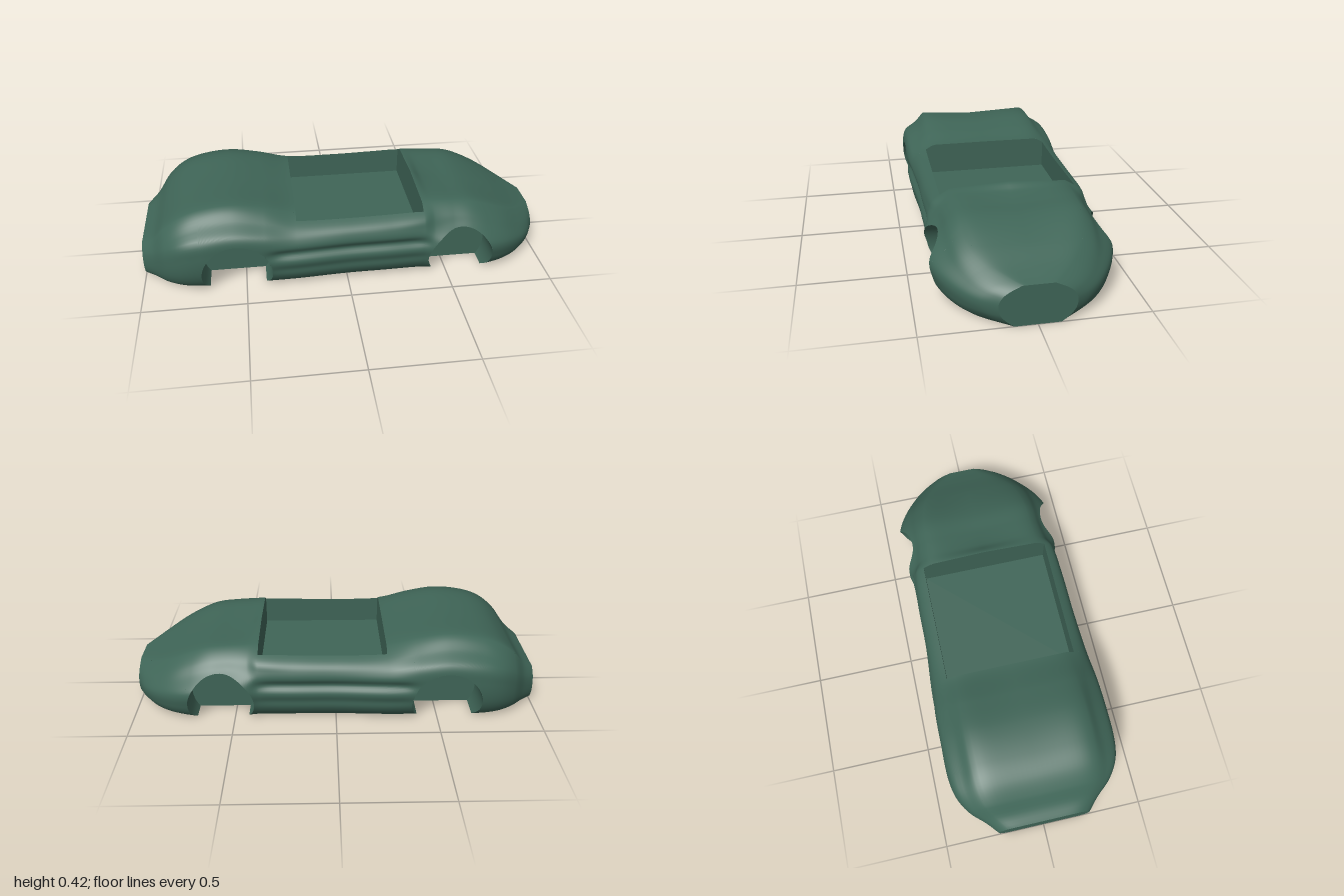
import * as THREE from 'three';

// Body stations along the car: x, widest half width, shoulder half width,
// upper shoulder half width, ridge half width, ridge height, centreline height
const STATIONS = [
  [-1.0, 0.23, 0.222, 0.208, 0.18, 0.18, 0.18],
  [-0.94, 0.285, 0.278, 0.26, 0.23, 0.222, 0.222],
  [-0.88, 0.352, 0.342, 0.31, 0.27, 0.3, 0.292],
  [-0.8, 0.4, 0.388, 0.335, 0.29, 0.363, 0.352],
  [-0.7, 0.42, 0.404, 0.338, 0.295, 0.4, 0.384],
  [-0.55, 0.42, 0.406, 0.338, 0.295, 0.416, 0.397],
  [-0.4, 0.42, 0.405, 0.345, 0.29, 0.395, 0.383],
  [-0.25, 0.418, 0.397, 0.36, 0.285, 0.36, 0.361],
  [0.0, 0.402, 0.39, 0.362, 0.28, 0.355, 0.36],
  [0.2, 0.4, 0.387, 0.36, 0.28, 0.359, 0.365],
  [0.375, 0.398, 0.377, 0.354, 0.28, 0.364, 0.38],
  [0.43, 0.408, 0.36, 0.33, 0.28, 0.362, 0.353],
  [0.52, 0.42, 0.35, 0.32, 0.278, 0.358, 0.335],
  [0.62, 0.421, 0.35, 0.318, 0.275, 0.348, 0.328],
  [0.7, 0.412, 0.345, 0.312, 0.265, 0.322, 0.31],
  [0.8, 0.372, 0.322, 0.29, 0.24, 0.276, 0.275],
  [0.9, 0.302, 0.265, 0.23, 0.175, 0.228, 0.23],
  [0.96, 0.238, 0.21, 0.175, 0.115, 0.204, 0.205],
  [1.0, 0.168, 0.15, 0.12, 0.07, 0.19, 0.19],
];
const XS = STATIONS.map((s) => s[0]);
const COLS = [1, 2, 3, 4, 5, 6].map((i) => STATIONS.map((s) => s[i]));
const [WIDE, SHOULDER, UPPER, RIDGE_Z, RIDGE_Y, CENTRE_Y] = [0, 1, 2, 3, 4, 5];
const HEIGHTS = [0, 0.12, 0.3, 0.55, 0.75, 0.87, 1];
const WELLS = [
  { x: -0.54, y: 0.1, r: 0.17, z: 0.215, name: 'rearWheelWell' },
  { x: 0.56, y: 0.097, r: 0.16, z: 0.24, name: 'frontWheelWell' },
];
const PIT = { x0: -0.245, x1: 0.375, z: 0.325, y: 0.2 };

// Smooth curve through uneven keys
function smooth(keys, vals, t) {
  const n = keys.length;
  let i = 0;
  while (i < n - 2 && t > keys[i + 1]) i++;
  const slope = (k) => {
    const a = Math.max(k - 1, 0), b = Math.min(k + 1, n - 1);
    return (vals[b] - vals[a]) / (keys[b] - keys[a]);
  };
  const h = keys[i + 1] - keys[i];
  const u = Math.min(1, Math.max(0, (t - keys[i]) / h));
  const u2 = u * u, u3 = u2 * u;
  return (2 * u3 - 3 * u2 + 1) * vals[i] + (u3 - 2 * u2 + u) * h * slope(i)
    + (3 * u2 - 2 * u3) * vals[i + 1] + (u3 - u2) * h * slope(i + 1);
}
const at = (x, col) => smooth(XS, COLS[col], x);
const bell = (d, w) => Math.exp(-(d * d) / (w * w));

// Half width of the flank at length x and height y, with grooves along the door
function flank(x, y) {
  const w = at(x, WIDE), tuck = bell(x - 1, 0.08);
  const z = smooth(HEIGHTS, [w * (0.8 - 0.2 * tuck), w * (0.915 - 0.14 * tuck), w * (0.985 - 0.04 * tuck), w,
    at(x, SHOULDER), at(x, UPPER), at(x, RIDGE_Z)], y / at(x, RIDGE_Y));
  const door = 1 / (1 + Math.exp(-(x + 0.37) / 0.025)) / (1 + Math.exp((x - 0.39) / 0.025));
  return z - door * (0.022 * bell(y - 0.2, 0.026) + 0.007 * bell(y - 0.115, 0.025));
}

// Height of the upper surface over (x, z)
function topY(x, z) {
  const a = Math.abs(z), ridgeZ = at(x, RIDGE_Z), ridge = at(x, RIDGE_Y), centre = at(x, CENTRE_Y);
  if (a <= ridgeZ) return centre + (ridge - centre) * (a / ridgeZ);
  let lo = ridge * 0.7, hi = ridge;
  for (let i = 0; i < 24; i++) {
    const mid = (lo + hi) / 2;
    if (flank(x, mid) > a) lo = mid; else hi = mid;
  }
  return lo;
}

// Surface normals, blended across the ridge so fender and deck flow together
function rawFlank(x, y) {
  const e = 0.004;
  const xa = Math.max(-1, x - e), xb = Math.min(1, x + e);
  const ya = Math.max(0, y - e), yb = Math.min(at(x, RIDGE_Y), y + e);
  return new THREE.Vector3(
    -(flank(xb, y) - flank(xa, y)) / (xb - xa),
    -(flank(x, yb) - flank(x, ya)) / Math.max(1e-5, yb - ya), 1).normalize();
}
function rawDeck(x, f) {
  const e = 0.004, xa = Math.max(-1, x - e), xb = Math.min(1, x + e);
  const h = (s) => at(s, CENTRE_Y) + (at(s, RIDGE_Y) - at(s, CENTRE_Y)) * f;
  return new THREE.Vector3(-(h(xb) - h(xa)) / (xb - xa), 1,
    -(at(x, RIDGE_Y) - at(x, CENTRE_Y)) / at(x, RIDGE_Z) * f).normalize();
}
const ridgeNormal = (x) => rawFlank(x, at(x, RIDGE_Y)).add(rawDeck(x, 1)).normalize();
function flankNormal(x, y) {
  const k = Math.min(1, y / at(x, RIDGE_Y)) ** 10;
  return rawFlank(x, y).lerp(ridgeNormal(x), k).normalize().toArray();
}
function deckNormal(x, y, z) {
  const f = Math.min(1, Math.abs(z) / at(x, RIDGE_Z));
  const n = rawDeck(x, f).lerp(ridgeNormal(x), f ** 6).normalize();
  return [n.x, n.y, z < 0 ? -n.z : n.z];
}

// Grid surface from a rule; faces along du x dv
function surface(fn, nu, nv, normalFn) {
  const pos = [], nor = [], index = [];
  for (let j = 0; j <= nv; j++) {
    for (let i = 0; i <= nu; i++) {
      const p = fn(i / nu, j / nv);
      pos.push(...p);
      if (normalFn) nor.push(...normalFn(...p));
      if (i < nu && j < nv) {
        const a = j * (nu + 1) + i, c = a + nu + 1;
        index.push(a, a + 1, c + 1, a, c + 1, c);
      }
    }
  }
  const g = new THREE.BufferGeometry();
  g.setAttribute('position', new THREE.Float32BufferAttribute(pos, 3));
  g.setIndex(index);
  if (normalFn) g.setAttribute('normal', new THREE.Float32BufferAttribute(nor, 3));
  else g.computeVertexNormals();
  return g;
}

export function createModel() {
  const car = new THREE.Group();
  car.name = 'carBody';
  const paint = new THREE.MeshStandardMaterial({ color: 0x3f6557, side: THREE.DoubleSide });
  paint.name = 'green paint';
  const add = (name, geometry) => {
    const m = new THREE.Mesh(geometry, paint);
    m.name = name;
    car.add(m);
    return m;
  };
  const addPair = (name, geometry) => {
    add(name + 'Left', geometry);
    add(name + 'Right', geometry).scale.z = -1;
  };

  // Flank panels, split around the wheel wells and the cockpit
  const panel = (name, x0, x1, lo, hi, nu, nv) => addPair(name, surface((u, v) => {
    const x = x0 + (x1 - x0) * (0.5 - 0.5 * Math.cos(Math.PI * u));
    const a = lo(x), y = a + (hi(x) - a) * v;
    return [x, y, flank(x, y)];
  }, nu, nv, flankNormal));
  const zero = () => 0;
  const ridge = (x) => at(x, RIDGE_Y);
  const rim = (x) => topY(x, PIT.z);
  const [rear, front] = WELLS;
  panel('tailFlank', -1, rear.x - rear.r, zero, ridge, 24, 30);
  panel('rearQuarter', rear.x + rear.r, PIT.x0, zero, ridge, 12, 40);
  panel('door', PIT.x0, PIT.x1, zero, rim, 40, 40);
  panel('frontQuarter', PIT.x1, front.x - front.r, zero, ridge, 6, 40);
  panel('noseFlank', front.x + front.r, 1, zero, ridge, 24, 30);

  // Wheel wells: flank above and below the arch, tunnel and inner wall
  for (const w of WELLS) {
    const rise = (x) => Math.sqrt(Math.max(0, w.r ** 2 - (x - w.x) ** 2));
    const lower = (x) => Math.max(0, w.y - rise(x));
    w.chord = Math.sqrt(w.r ** 2 - w.y ** 2);
    panel(w.name + 'Fender', w.x - w.r, w.x + w.r, (x) => w.y + rise(x), ridge, 40, 20);
    panel(w.name + 'SillBack', w.x - w.r, w.x - w.chord, zero, lower, 10, 8);
    panel(w.name + 'SillFront', w.x + w.chord, w.x + w.r, zero, lower, 10, 8);
    const dip = Math.asin(w.y / w.r);
    const arc = (u) => {
      const t = Math.PI + dip - u * (Math.PI + 2 * dip);
      return [w.x + w.r * Math.cos(t), Math.max(0, w.y + w.r * Math.sin(t))];
    };
    addPair(w.name + 'Arch', surface((u, v) => {
      const [x, y] = arc(u);
      return [x, y, w.z + (flank(x, y) - w.z) * v];
    }, 48, 1));
    const outline = [];
    for (let i = 0; i <= 48; i++) outline.push(new THREE.Vector2(...arc(i / 48)));
    addPair(w.name + 'InnerWall', new THREE.ShapeGeometry(new THREE.Shape(outline)).translate(0, 0, w.z));
  }

  // Decks in front of and behind the cockpit
  const deck = (name, x0, x1) => add(name, surface((u, v) => {
    const x = x0 + (x1 - x0) * u, z = at(x, RIDGE_Z) * (1 - 2 * v);
    return [x, topY(x, z), z];
  }, 50, 24, deckNormal));
  deck('rearDeck', -1, PIT.x0);
  deck('hood', PIT.x1, 1);

  // Flat nose and tail ends
  for (const [name, x] of [['noseEnd', 1], ['tailEnd', -1]]) {
    add(name, surface((u, v) => {
      const y = at(x, RIDGE_Y) * v;
      return [x, y, flank(x, y) * (1 - 2 * u) * x];
    }, 4, 30));
  }

  // Open cockpit tub
  for (const [name, x, s] of [['cockpitRearWall', PIT.x0, 1], ['cockpitFrontWall', PIT.x1, -1]]) {
    add(name, surface((u, v) => {
      const z = PIT.z * (1 - 2 * u) * s;
      return [x, PIT.y + (topY(x, z) - PIT.y) * v, z];
    }, 40, 1));
  }
  addPair('cockpitSideWall', surface((u, v) => {
    const x = PIT.x1 + (PIT.x0 - PIT.x1) * u;
    return [x, PIT.y + (rim(x) - PIT.y) * v, PIT.z];
  }, 30, 1));
  const tub = new THREE.PlaneGeometry(PIT.x1 - PIT.x0, PIT.z * 2).rotateX(-Math.PI / 2);
  add('cockpitFloor', tub.translate((PIT.x0 + PIT.x1) / 2, PIT.y, 0));

  // Underside, notched at the wheel wells
  const edge = [];
  for (let i = 0; i <= 80; i++) {
    const x = -1 + i / 40;
    if (!WELLS.some((w) => Math.abs(x - w.x) < w.chord)) edge.push([x, flank(x, 0)]);
  }
  for (const w of WELLS) {
    const a = w.x - w.chord, b = w.x + w.chord;
    const k = edge.findIndex((p) => p[0] > w.x);
    edge.splice(k, 0, [a, flank(a, 0)], [a, w.z], [b, w.z], [b, flank(b, 0)]);
  }
  const loop = [...edge, ...edge.map(([x, z]) => [x, -z]).reverse()];
  const under = new THREE.Shape(loop.map(([x, z]) => new THREE.Vector2(x, z)));
  add('underside', new THREE.ShapeGeometry(under).rotateX(Math.PI / 2));
  return car;
}
